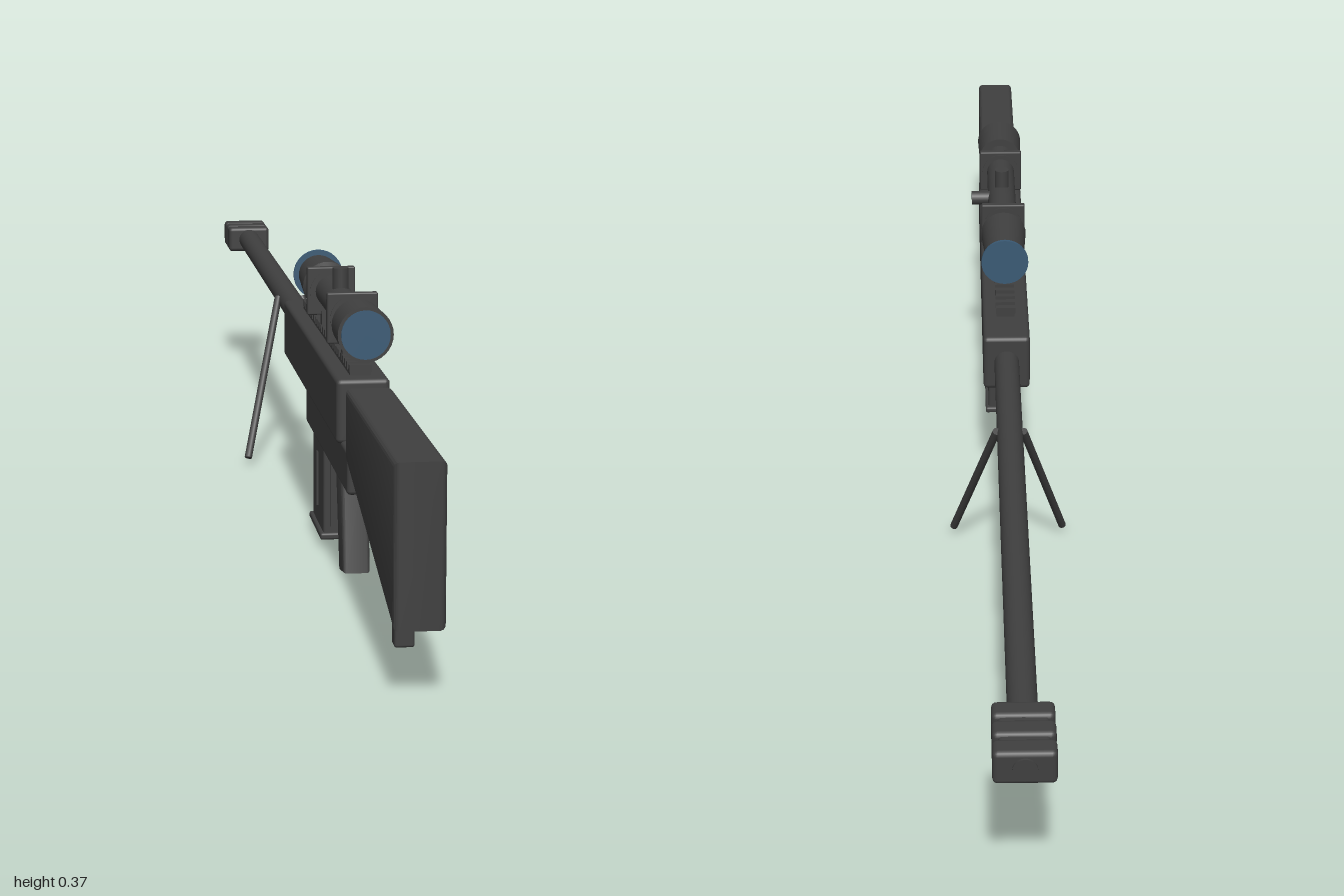
import * as THREE from 'three';
import { RoundedBoxGeometry } from 'three/addons/geometries/RoundedBoxGeometry.js';
import { toCreasedNormals } from 'three/addons/utils/BufferGeometryUtils.js';

export function createModel() {
  const model = new THREE.Group();
  const metal = new THREE.MeshStandardMaterial({ color: 0x404040 });
  metal.name = 'darkMetal';
  const glass = new THREE.MeshStandardMaterial({ color: 0x3a5a75 });
  glass.name = 'blueGlass';

  const add = (name, geometry, x = 0, y = 0, z = 0, material = metal) => {
    const mesh = new THREE.Mesh(geometry, material);
    mesh.name = name;
    mesh.position.set(x, y, z);
    model.add(mesh);
    return mesh;
  };
  // box given by its full width and its y and z ranges
  const box = (name, w, y0, y1, z0, z1, r = 0, x = 0) => {
    const size = [w, y1 - y0, z1 - z0];
    const g = r ? new RoundedBoxGeometry(...size, 2, r) : new THREE.BoxGeometry(...size);
    return add(name, g, x, (y0 + y1) / 2, (z0 + z1) / 2);
  };
  // cylinder along z, r0 at z0 and r1 at z1
  const tube = (name, r0, r1, y, z0, z1, material = metal) =>
    add(name, new THREE.CylinderGeometry(r1, r0, z1 - z0, 32).rotateX(Math.PI / 2),
      0, y, (z0 + z1) / 2, material);
  // side profile of [z, y] points, extruded across x with a small bevel
  const profile = (name, points, width, bevel) => {
    const shape = new THREE.Shape(points.map(([z, y]) => new THREE.Vector2(z, y)));
    const depth = width - 2 * bevel;
    const g = new THREE.ExtrudeGeometry(shape, {
      depth, bevelThickness: bevel, bevelSize: bevel, bevelOffset: -bevel, bevelSegments: 3,
    });
    g.translate(0, 0, -depth / 2).rotateY(-Math.PI / 2);
    return add(name, toCreasedNormals(g, 0.6), 0, 0, 0);
  };

  // stock and rear support
  profile('stock', [[0.613, 0.18], [1, 0.083], [1, 0.267], [0.613, 0.267]], 0.057, 0.006);
  box('rearSupport', 0.023, 0.033, 0.14, 0.878, 0.898, 0.003);

  // receiver
  box('upperReceiver', 0.066, 0.188, 0.268, -0.022, 0.565, 0.006);
  box('lowerReceiver', 0.055, 0.138, 0.192, 0.203, 0.623, 0.005);

  // sight rail with teeth
  box('railBase', 0.026, 0.262, 0.273, 0.05, 0.54);
  for (let i = 0; i < 25; i++) {
    const z = 0.05 + i * 0.02;
    box('railTooth', 0.028, 0.272, 0.281, z, z + 0.01);
  }

  // grip, trigger and guard
  profile('grip', [[0.47, 0.003], [0.512, 0.01], [0.485, 0.145], [0.432, 0.145]], 0.034, 0.004);
  box('guardBottom', 0.012, 0.104, 0.108, 0.38, 0.455);
  box('guardFront', 0.012, 0.104, 0.14, 0.38, 0.384);
  box('trigger', 0.007, 0.114, 0.142, 0.413, 0.42).rotation.x = 0.3;

  // magazine with ribs and base plate
  box('magazine', 0.045, 0.018, 0.145, 0.242, 0.354, 0.003);
  box('magazineBase', 0.054, 0.013, 0.022, 0.236, 0.359, 0.003);
  for (const s of [-1, 1]) {
    box('magazineSideRib', 0.003, 0.045, 0.118, 0.293, 0.299, 0, s * 0.0233);
    for (const z of [0.241, 0.355])
      box('magazineEndRib', 0.004, 0.03, 0.118, z - 0.001, z + 0.001, 0, s * 0.011);
  }

  // barrel and muzzle brake
  tube('barrel', 0.0175, 0.0175, 0.23, -0.93, 0);
  box('brakeCore', 0.058, 0.213, 0.247, -0.995, -0.897, 0.005);
  for (const z of [-0.983, -0.947, -0.911])
    box('brakeLobe', 0.071, 0.209, 0.251, z - 0.0145, z + 0.0145, 0.006);
  tube('muzzleTip', 0.014, 0.014, 0.23, -1, -0.98);

  // bipod
  for (const s of [-1, 1]) {
    const a = new THREE.Vector3(s * 0.018, 0.236, -0.24);
    const b = new THREE.Vector3(s * 0.077, 0.016, -0.113);
    const leg = add('bipodLeg', new THREE.CylinderGeometry(0.0055, 0.0055, a.distanceTo(b), 12));
    leg.position.copy(a).lerp(b, 0.5);
    leg.quaternion.setFromUnitVectors(new THREE.Vector3(0, 1, 0), a.sub(b).normalize());
  }

  // scope body and lenses
  const axis = 0.326;
  tube('scopeTube', 0.021, 0.021, axis, 0.2, 0.53);
  tube('scopeEyepiece', 0.032, 0.034, axis, 0.51, 0.583);
  tube('scopeBell', 0.027, 0.033, axis, 0.114, 0.215);
  tube('scopeBellCollar', 0.033, 0.023, axis, 0.215, 0.228);
  tube('rearLens', 0.03, 0.03, axis, 0.58, 0.585, glass);
  tube('frontLens', 0.034, 0.034, axis, 0.109, 0.114, glass);

  // scope rings, mounts and turrets
  for (const z of [0.25, 0.46]) {
    tube('scopeRing', 0.028, 0.028, axis, z - 0.007, z + 0.007);
    box('ringClamp', 0.064, 0.294, 0.358, z - 0.0055, z + 0.0055, 0.002);
    box('ringMount', 0.026, 0.27, 0.3, z - 0.008, z + 0.008);
  }
  add('topTurret', new THREE.CylinderGeometry(0.0105, 0.0105, 0.05, 20), 0, 0.347, 0.35);
  add('sideTurret', new THREE.CylinderGeometry(0.0105, 0.0105, 0.046, 20).rotateZ(Math.PI / 2), 0.023, axis, 0.35);

  return model;
}
